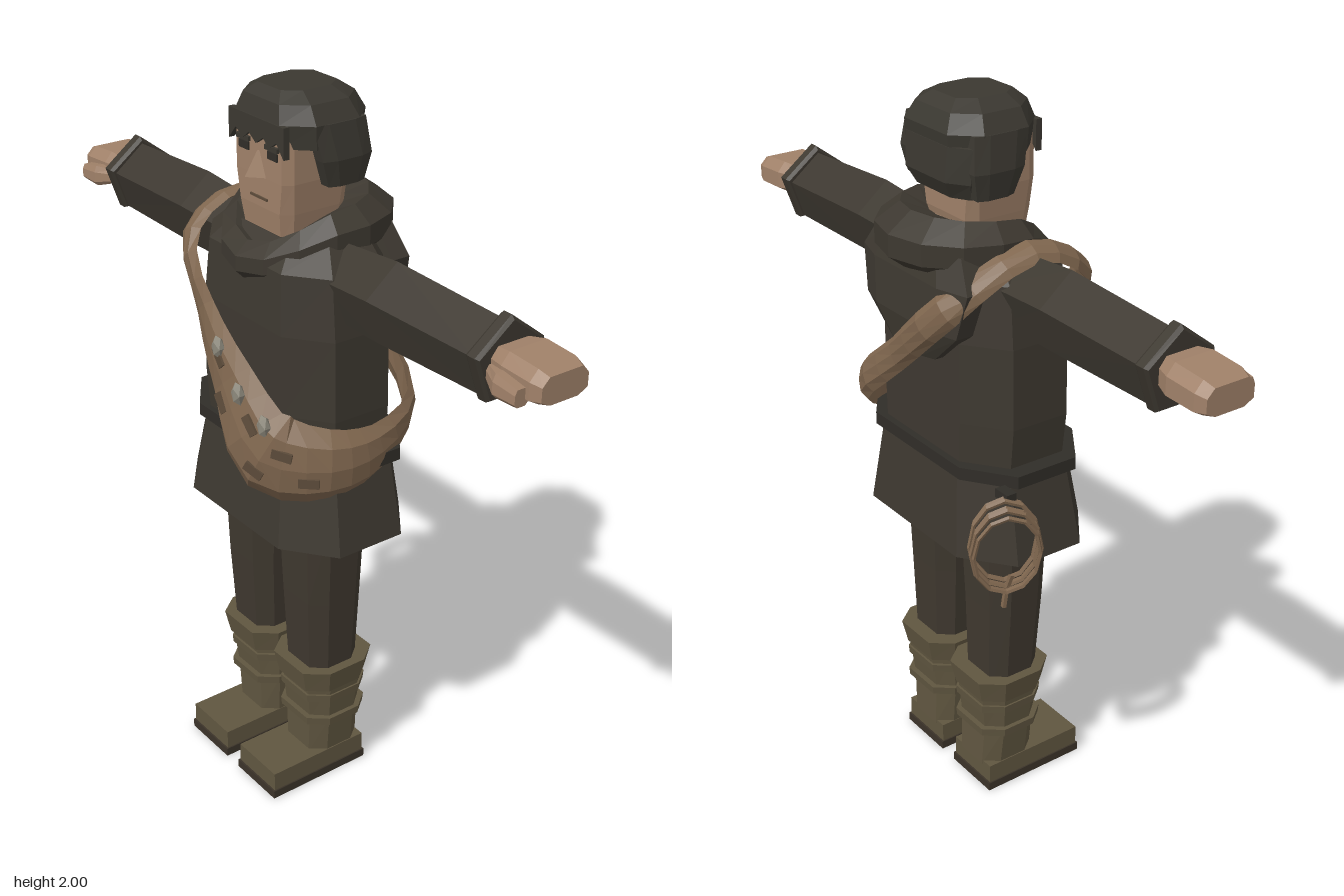
import * as THREE from 'three';

const mat = (name, color) => Object.assign(new THREE.MeshStandardMaterial({ color, flatShading: true }), { name });
const V = (x, y, z) => new THREE.Vector3(x, y, z);

// Joins equal-length rings into a solid; looped rings close on themselves, others get caps.
function loft(rings, looped = false) {
  const n = rings[0].length, m = rings.length, tris = [];
  for (let i = 0; i < (looped ? m : m - 1); i++) {
    const p = rings[i], q = rings[(i + 1) % m];
    for (let j = 0; j < n; j++) {
      const k = (j + 1) % n;
      tris.push([p[j], p[k], q[k]], [p[j], q[k], q[j]]);
    }
  }
  if (!looped) for (let j = 1; j < n - 1; j++) {
    tris.push([rings[0][0], rings[0][j + 1], rings[0][j]], [rings[m - 1][0], rings[m - 1][j], rings[m - 1][j + 1]]);
  }
  // Turn the faces outward whichever way the rings run
  const volume = tris.reduce((s, [a, b, c]) => s + a.dot(b.clone().cross(c)), 0);
  const pts = tris.flatMap(([a, b, c]) => (volume < 0 ? [a, c, b] : [a, b, c]));
  const g = new THREE.BufferGeometry().setFromPoints(pts);
  g.computeVertexNormals();
  return g;
}

// Level ring: a rectangle with cut corners
function oct(cx, y, cz, rx, rz, kx = 0.6, kz = 0.5) {
  return [[1, -kz], [kx, -1], [-kx, -1], [-1, -kz], [-1, kz], [-kx, 1], [kx, 1], [1, kz]]
    .map(([a, b]) => V(cx + a * rx, y, cz + b * rz));
}

// Upright five-sided ring for the sleeves
function penta(x, cy, cz, ry, rz) {
  return [[1, 0], [0.2, 1], [-1, 0.6], [-1, -0.6], [0.2, -1]].map(([a, b]) => V(x, cy + a * ry, cz + b * rz));
}

export function createModel() {
  const root = new THREE.Group();
  root.name = 'traveller';
  const cloth = mat('dark tunic cloth', 0x3d3830), trouser = mat('trouser cloth', 0x3f382f);
  const hair = mat('dark hair', 0x3b3831), skin = mat('skin', 0xa08169);
  const leather = mat('boot leather', 0x605640), sole = mat('boot sole', 0x3b3329);
  const canvas = mat('bag canvas', 0x80674f), patch = mat('bag patch', 0x5c4b3a);
  const stone = mat('pale bead', 0x8d897c), strapDark = mat('belt leather', 0x302d28);
  const add = (name, geo, material, parent = root) => {
    const m = new THREE.Mesh(geo, material);
    m.name = name;
    parent.add(m);
    return m;
  };
  const box = (name, w, h, d, x, y, z, material) => {
    const m = add(name, new THREE.BoxGeometry(w, h, d), material);
    m.position.set(x, y, z);
    return m;
  };

  // Tunic, skirt and belt
  add('tunicBody', loft([
    oct(0, 1.04, -0.01, 0.275, 0.165), oct(0, 1.2, -0.005, 0.285, 0.17), oct(0, 1.42, -0.005, 0.28, 0.17),
    oct(0, 1.58, -0.005, 0.26, 0.16), oct(0, 1.64, -0.02, 0.2, 0.12),
  ]), cloth);
  add('tunicSkirt', loft([oct(0, 0.83, -0.005, 0.335, 0.205), oct(0, 1.07, -0.01, 0.285, 0.175)]), cloth);
  add('belt', loft([oct(0, 1.055, -0.01, 0.325, 0.185), oct(0, 1.09, -0.01, 0.325, 0.185)]), strapDark);

  // Cowl collar, thick and raised at the back
  const cowl = [];
  for (let i = 0; i < 14; i++) {
    const a = (i / 14) * Math.PI * 2, s = (1 - Math.cos(a)) / 2;
    const cy = 1.57 + 0.085 * Math.sin(Math.min(s, 0.5) * Math.PI);
    const t = 0.042 + 0.035 * s * s, h = 0.05 + 0.022 * s;
    const slope = 0.02 * s;
    cowl.push([[1, -0.5], [1, 0.3 + slope], [0.1, 1], [-0.9, 0.6], [-0.8, -1], [0.4, -1]].map(([r, v]) =>
      V(Math.sin(a) * (0.168 + r * t), cy + v * h, -0.025 + Math.cos(a) * (0.165 + r * t))));
  }
  add('cowl', loft(cowl, true), cloth);

  // Hood cloth hanging over the back
  add('hoodDrape', loft([
    oct(0, 1.36, -0.185, 0.1, 0.03), oct(0, 1.45, -0.18, 0.2, 0.05),
    oct(0, 1.57, -0.165, 0.23, 0.055), oct(0, 1.65, -0.15, 0.18, 0.05),
  ]), cloth);

  // Head
  add('neck', loft([oct(0, 1.56, -0.01, 0.085, 0.075), oct(0, 1.68, -0.01, 0.09, 0.085)]), skin);
  add('face', loft([
    oct(0, 1.62, 0.01, 0.092, 0.085, 0.8, 0.7), oct(0, 1.7, 0.005, 0.104, 0.1, 0.8, 0.7),
    oct(0, 1.78, 0.005, 0.112, 0.102, 0.85, 0.75), oct(0, 1.9, 0.005, 0.112, 0.102, 0.85, 0.75),
  ]), skin);
  add('nose', loft([
    [V(-0.034, 1.78, 0.1), V(0.034, 1.78, 0.1), V(0, 1.785, 0.15)],
    [V(-0.008, 1.845, 0.1), V(0.008, 1.845, 0.1), V(0, 1.845, 0.112)],
  ]), skin);
  box('mouth', 0.07, 0.006, 0.006, 0, 1.725, 0.107, patch);

  // Hair: cap, back, side locks and jagged fringe
  add('hairCap', loft([
    oct(0, 1.87, -0.02, 0.15, 0.125), oct(0, 1.93, -0.02, 0.153, 0.132),
    oct(0, 1.975, -0.015, 0.125, 0.115), oct(0, 2, -0.01, 0.08, 0.085),
  ]), hair);
  add('hairBack', loft([
    oct(0, 1.765, -0.075, 0.12, 0.055), oct(0, 1.81, -0.08, 0.14, 0.075), oct(0, 1.9, -0.075, 0.148, 0.075),
  ]), hair);
  const zigzag = [[0.115, 1.93], [0.115, 1.85], [0.085, 1.885], [0.055, 1.865], [0.03, 1.885], [0, 1.865],
    [-0.03, 1.885], [-0.055, 1.865], [-0.085, 1.885], [-0.115, 1.85], [-0.115, 1.93]];
  add('fringe', new THREE.ExtrudeGeometry(new THREE.Shape(zigzag.map(([x, y]) => new THREE.Vector2(x, y))),
    { depth: 0.018, bevelEnabled: false }), hair).position.z = 0.098;

  for (const s of [1, -1]) {
    const side = s > 0 ? 'left' : 'right';
    box(side + 'Eye', 0.04, 0.02, 0.006, s * 0.06, 1.845, 0.108, strapDark);
    box(side + 'Brow', 0.052, 0.012, 0.01, s * 0.06, 1.865, 0.11, hair);
    add(side + 'SideLock', loft([
      oct(s * 0.135, 1.77, -0.05, 0.025, 0.055), oct(s * 0.143, 1.84, -0.045, 0.028, 0.075),
      oct(s * 0.13, 1.93, -0.03, 0.026, 0.08),
    ]), hair);

    // Arm
    add(side + 'Sleeve', loft([
      penta(s * 0.2, 1.55, -0.01, 0.09, 0.09), penta(s * 0.4, 1.557, -0.01, 0.098, 0.095),
      penta(s * 0.77, 1.55, -0.015, 0.088, 0.09),
    ]), cloth);
    add(side + 'Cuff', loft([
      penta(s * 0.752, 1.555, -0.015, 0.092, 0.098), penta(s * 0.762, 1.557, -0.015, 0.1, 0.105),
      penta(s * 0.787, 1.557, -0.015, 0.1, 0.105), penta(s * 0.797, 1.555, -0.015, 0.092, 0.098),
    ]), cloth);
    const palm = (x, cy, ry, cz, rz) => [[1, 0.7], [0.4, 1], [-0.6, 1], [-1, 0.6], [-1, -0.6], [-0.6, -1], [0.4, -1], [1, -0.7]]
      .map(([a, b]) => V(s * x, cy + a * ry, cz + b * rz));
    add(side + 'Hand', loft([
      palm(0.78, 1.555, 0.038, -0.015, 0.06), palm(0.84, 1.555, 0.046, -0.02, 0.08),
      palm(0.93, 1.55, 0.044, -0.02, 0.08), palm(0.96, 1.548, 0.035, -0.02, 0.07),
    ]), skin);
    add(side + 'Thumb', loft([
      palm(0.8, 1.54, 0.02, 0.04, 0.025), palm(0.85, 1.535, 0.03, 0.065, 0.027), palm(0.92, 1.53, 0.022, 0.07, 0.02),
    ]), skin);

    // Leg and boot
    add(side + 'Leg', loft([
      oct(s * 0.127, 0.3, -0.005, 0.08, 0.078), oct(s * 0.13, 0.6, 0, 0.094, 0.09),
      oct(s * 0.128, 0.88, 0, 0.108, 0.1),
    ]), trouser);
    add(side + 'BootShaft', loft([
      oct(s * 0.117, 0.07, -0.015, 0.082, 0.085), oct(s * 0.12, 0.2, -0.012, 0.092, 0.085),
      oct(s * 0.125, 0.33, -0.012, 0.1, 0.1),
    ]), leather);
    add(side + 'BootCuff', loft([
      oct(s * 0.123, 0.31, -0.01, 0.103, 0.105), oct(s * 0.123, 0.38, -0.01, 0.116, 0.12),
    ]), leather);
    for (const y of [0.2, 0.28]) {
      add(side + 'BootStrap', loft([
        oct(s * 0.122, y - 0.012, -0.012, 0.102, 0.1), oct(s * 0.122, y + 0.012, -0.012, 0.104, 0.102),
      ]), leather);
    }
    box(side + 'BootFoot', 0.17, 0.06, 0.315, s * 0.118, 0.052, 0.06, leather);
    box(side + 'BootSole', 0.178, 0.025, 0.325, s * 0.118, 0.0125, 0.06, sole);
  }

  // Shoulder bag: one band around the body that swells into a pouch at the front left
  // Columns: x, y, z, half width, thickness
  const band = [
    [-0.24, 1.65, -0.01, 0.045, 0.02], [-0.23, 1.57, 0.155, 0.048, 0.025], [-0.11, 1.41, 0.195, 0.062, 0.025],
    [0.03, 1.26, 0.215, 0.095, 0.035], [0.17, 1.11, 0.205, 0.135, 0.055], [0.285, 1.09, 0.1, 0.1, 0.045],
    [0.3, 1.1, -0.04, 0.075, 0.03], [0.24, 1.17, -0.19, 0.055, 0.025], [0.04, 1.33, -0.22, 0.045, 0.022],
    [-0.17, 1.52, -0.215, 0.045, 0.022],
  ];
  const path = new THREE.CatmullRomCurve3(band.map(([x, y, z]) => V(x, y, z)), true);
  const frame = (u) => {
    const k = u * band.length, i = Math.floor(k) % band.length, f = k - Math.floor(k), j = (i + 1) % band.length;
    const centre = path.getPoint(u), tangent = path.getTangent(u);
    const lift = Math.max(0, (centre.y - 1.5) / 0.15);
    const out = V(centre.x * 0.55, lift * 0.4, centre.z);
    out.addScaledVector(tangent, -out.dot(tangent)).normalize();
    return {
      centre, out, tangent, up: out.clone().cross(tangent),
      w: THREE.MathUtils.lerp(band[i][3], band[j][3], f), t: THREE.MathUtils.lerp(band[i][4], band[j][4], f),
    };
  };
  const at = (f, a, b) => f.centre.clone().addScaledVector(f.up, a * f.w).addScaledVector(f.out, b * f.t);
  const bandRings = [];
  for (let i = 0; i < 30; i++) {
    const f = frame(i / 30);
    bandRings.push([[1, 0], [0.6, 0.8], [0, 1], [-0.6, 0.8], [-1, 0], [0, -0.4]].map(([a, b]) => at(f, a, b)));
  }
  add('shoulderBag', loft(bandRings, true), canvas);

  // Sewn patches and beads on the bag
  for (const [u, a] of [[0.27, 0.3], [0.32, -0.35], [0.36, 0.35], [0.4, -0.3], [0.43, 0.3], [0.47, -0.3]]) {
    const f = frame(u);
    const m = box('bagPatch', 0.055, 0.026, 0.008, 0, 0, 0, patch);
    m.position.copy(at(f, a, 0.92));
    m.quaternion.setFromRotationMatrix(new THREE.Matrix4().makeBasis(f.tangent, f.up.clone().negate(), f.out.clone().negate()));
  }
  for (const [x, y, z] of [[0, 1.35, 0.24], [0.1, 1.26, 0.25], [0.19, 1.2, 0.235]]) {
    const bead = add('bagBead', new THREE.IcosahedronGeometry(0.024, 0), stone);
    bead.position.set(x, y, z);
    bead.scale.set(0.9, 1.4, 0.7);
  }

  // Coiled rope at the right hip, with a loose end
  const coil = new THREE.Group();
  coil.name = 'ropeCoil';
  coil.position.set(-0.375, 0.935, -0.18);
  coil.rotation.y = Math.PI / 2 - 0.45;
  root.add(coil);
  for (let i = 0; i < 5; i++) {
    const loop = add('ropeLoop', new THREE.TorusGeometry(0.115 + 0.007 * (i % 2), 0.007, 5, 12), canvas, coil);
    loop.scale.x = 0.75;
    loop.position.set(0, (i - 2) * 0.004, (i - 2) * 0.013);
    loop.rotation.x = (i - 2) * 0.04;
  }
  add('ropeEnd', new THREE.TubeGeometry(new THREE.CatmullRomCurve3(
    [V(-0.39, 0.86, -0.17), V(-0.375, 0.81, -0.175), V(-0.37, 0.755, -0.18)]), 5, 0.008, 5), canvas);
  box('ropeHanger', 0.05, 0.025, 0.03, -0.335, 1.06, -0.15, strapDark);

  return root;
}
